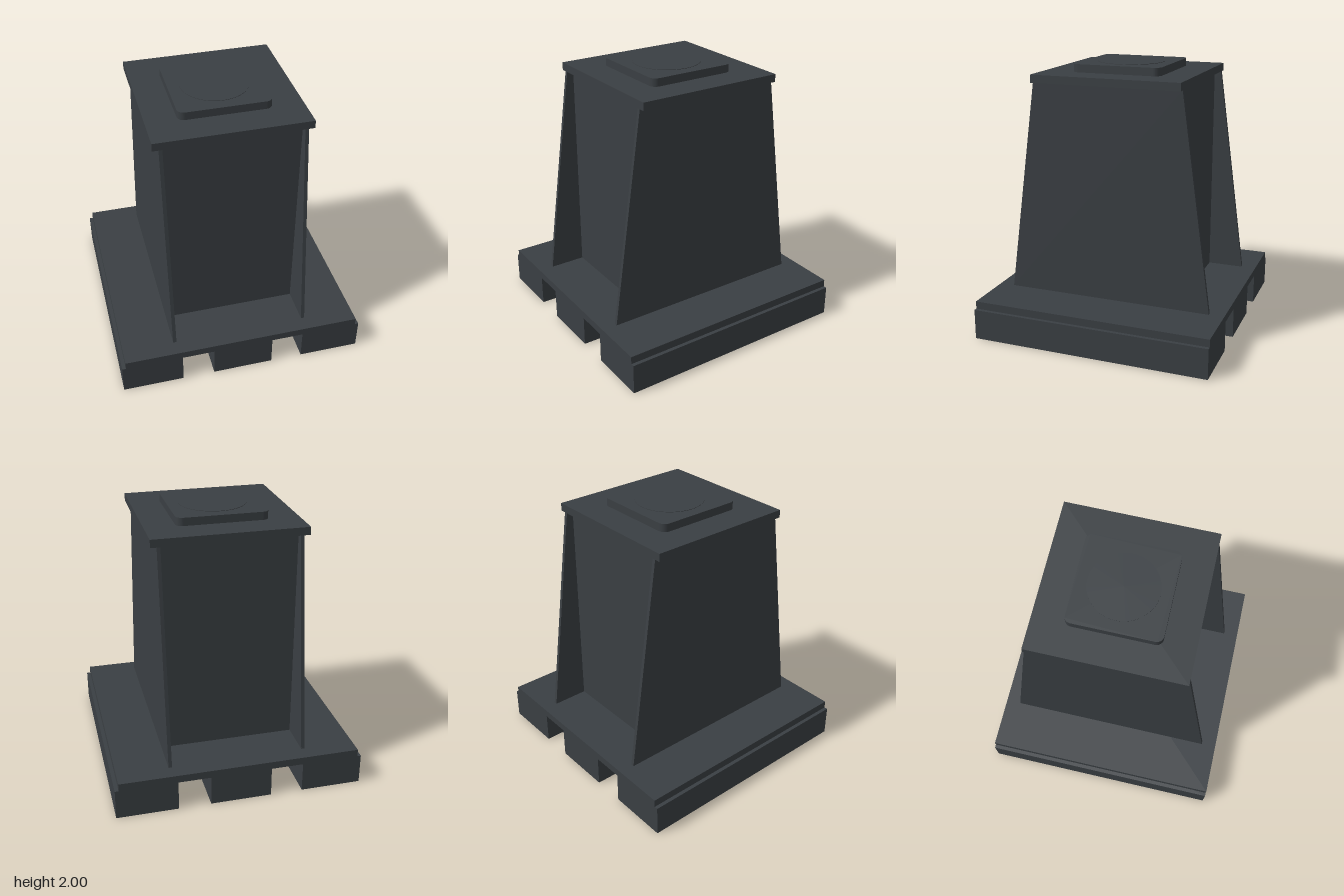
import * as THREE from 'three';

export function createModel() {
  const model = new THREE.Group();
  model.name = 'pedestal';
  const steel = new THREE.MeshStandardMaterial({ color: 0x3a3f43 });
  steel.name = 'dark steel';

  const add = (name, geometry, x = 0, y = 0, z = 0) => {
    const mesh = new THREE.Mesh(geometry, steel);
    mesh.name = name;
    mesh.position.set(x, y, z);
    model.add(mesh);
    return mesh;
  };
  // Box given by its full width and depth, and its bottom and top heights
  const block = (name, w, d, y0, y1, x = 0) =>
    add(name, new THREE.BoxGeometry(w, y1 - y0, d), x, (y0 + y1) / 2, 0);

  // Base: three runners under a slab
  for (const [name, x] of [['rightRunner', -0.695], ['middleRunner', 0], ['leftRunner', 0.695]]) {
    block(name, 0.455, 1.79, 0, 0.228, x);
  }
  block('baseSlab', 1.79, 1.79, 0.228, 0.285);

  // Upright column between the two side plates
  block('column', 0.98, 1.02, 0.285, 1.88);

  // Tapered side plates
  const outline = new THREE.Shape([
    new THREE.Vector2(-0.782, 0.285),
    new THREE.Vector2(0.782, 0.285),
    new THREE.Vector2(0.56, 1.88),
    new THREE.Vector2(-0.56, 1.88),
  ]);
  const thickness = 0.026;
  const plate = new THREE.ExtrudeGeometry(outline, { depth: thickness, bevelEnabled: false });
  plate.translate(0, 0, -thickness / 2);
  plate.rotateY(Math.PI / 2);
  for (const side of [-1, 1]) {
    add(side > 0 ? 'leftSidePlate' : 'rightSidePlate', plate, side * 0.503);
  }

  // Top plate
  block('topPlate', 1.12, 1.12, 1.88, 1.938);

  // Rounded square pad
  const h = 0.335, r = 0.05;
  const square = new THREE.Shape();
  square.moveTo(h - r, -h);
  square.absarc(h - r, -h + r, r, -Math.PI / 2, 0);
  square.absarc(h - r, h - r, r, 0, Math.PI / 2);
  square.absarc(-h + r, h - r, r, Math.PI / 2, Math.PI);
  square.absarc(-h + r, -h + r, r, Math.PI, Math.PI * 1.5);
  const pad = new THREE.ExtrudeGeometry(square, { depth: 0.059, bevelEnabled: false, curveSegments: 8 });
  pad.rotateX(-Math.PI / 2);
  add('mountingPad', pad, 0, 1.938, 0);

  // Thin round disc on the pad
  add('padDisc', new THREE.CylinderGeometry(0.25, 0.25, 0.005, 48), 0, 1.9975, 0);

  return model;
}
